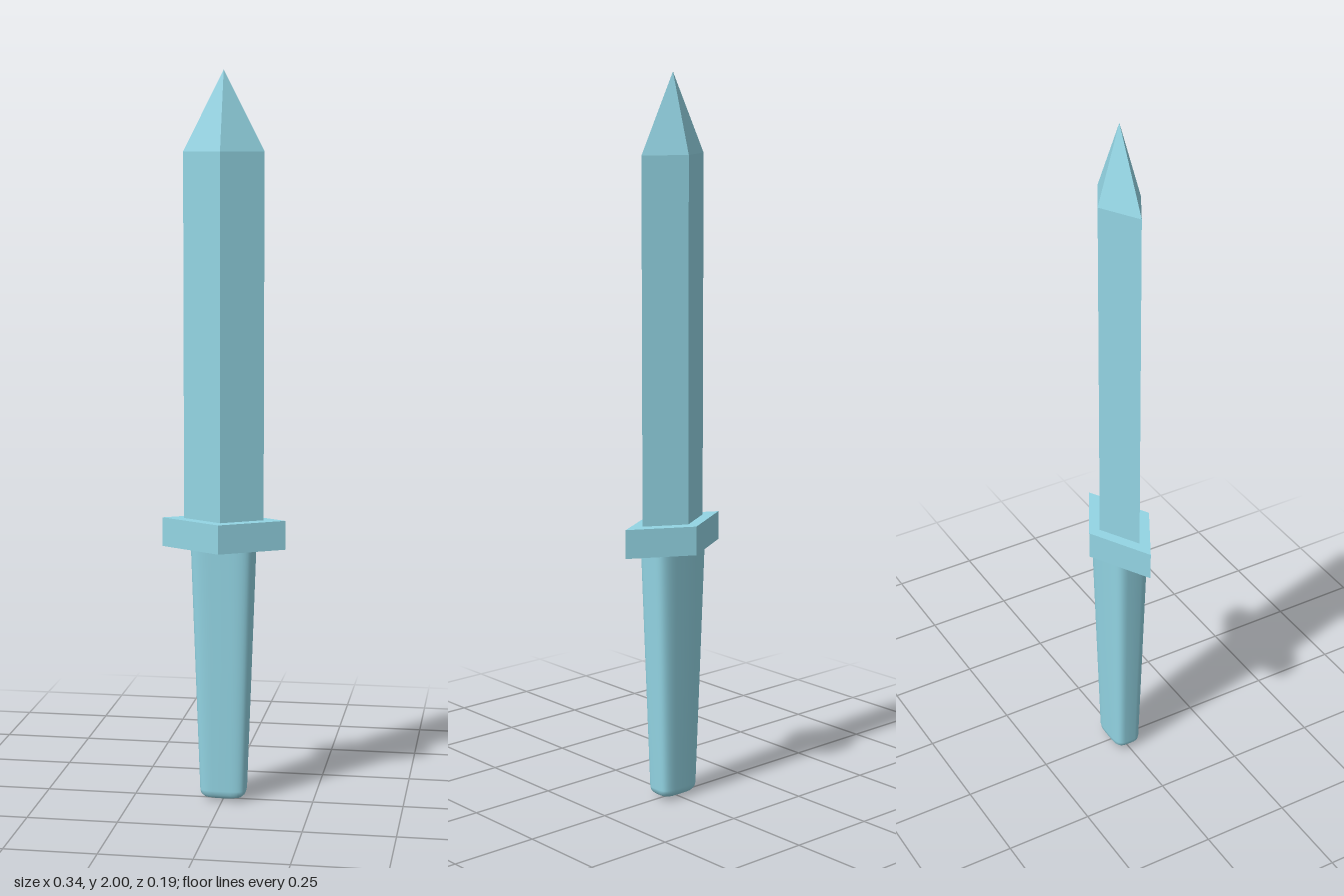
import * as THREE from 'three';
import { mergeVertices } from 'three/addons/utils/BufferGeometryUtils.js';

const COLOR = 0x93d5e4;

// Sweeps a [radius, height] profile around y
function lathe(profile, sides) {
  return new THREE.LatheGeometry(profile.map(([r, y]) => new THREE.Vector2(r, y)), sides);
}

// Flat-shaded solid with a diamond cross-section; radii are along x
function diamond(name, profile, depthRatio) {
  const geometry = lathe(profile, 4).scale(1, 1, depthRatio);
  const mesh = new THREE.Mesh(geometry, new THREE.MeshStandardMaterial({ color: COLOR, flatShading: true }));
  mesh.name = name;
  return mesh;
}

// Smooth tapered grip with a rounded-rectangle cross-section
function grip() {
  const profile = [[0, 0], [0.03, 0.004], [0.052, 0.01], [0.061, 0.018], [0.064, 0.03], [0.076, 0.37], [0.088, 0.715]];
  let geometry = lathe(profile, 40);
  const p = geometry.attributes.position;
  const squarish = (v) => Math.sign(v) * Math.sqrt(Math.abs(v));
  for (let i = 0; i < p.count; i++) {
    const r = Math.hypot(p.getX(i), p.getZ(i));
    if (r < 1e-6) continue;
    p.setX(i, r * squarish(p.getX(i) / r));
    p.setZ(i, r * 0.63 * squarish(p.getZ(i) / r));
  }
  // Weld the seam so the shading runs smoothly all round
  geometry.deleteAttribute('uv');
  geometry.deleteAttribute('normal');
  geometry = mergeVertices(geometry, 1e-5);
  geometry.computeVertexNormals();
  const mesh = new THREE.Mesh(geometry, new THREE.MeshStandardMaterial({ color: COLOR }));
  mesh.name = 'grip';
  return mesh;
}

export function createModel() {
  const model = new THREE.Group();
  model.name = 'dagger';
  model.add(
    diamond('blade', [[0.11, 0.785], [0.11, 1.785], [0, 2]], 0.57),
    diamond('guard', [[0, 0.71], [0.17, 0.71], [0.17, 0.79], [0, 0.79]], 0.565),
    grip(),
  );
  return model;
}
